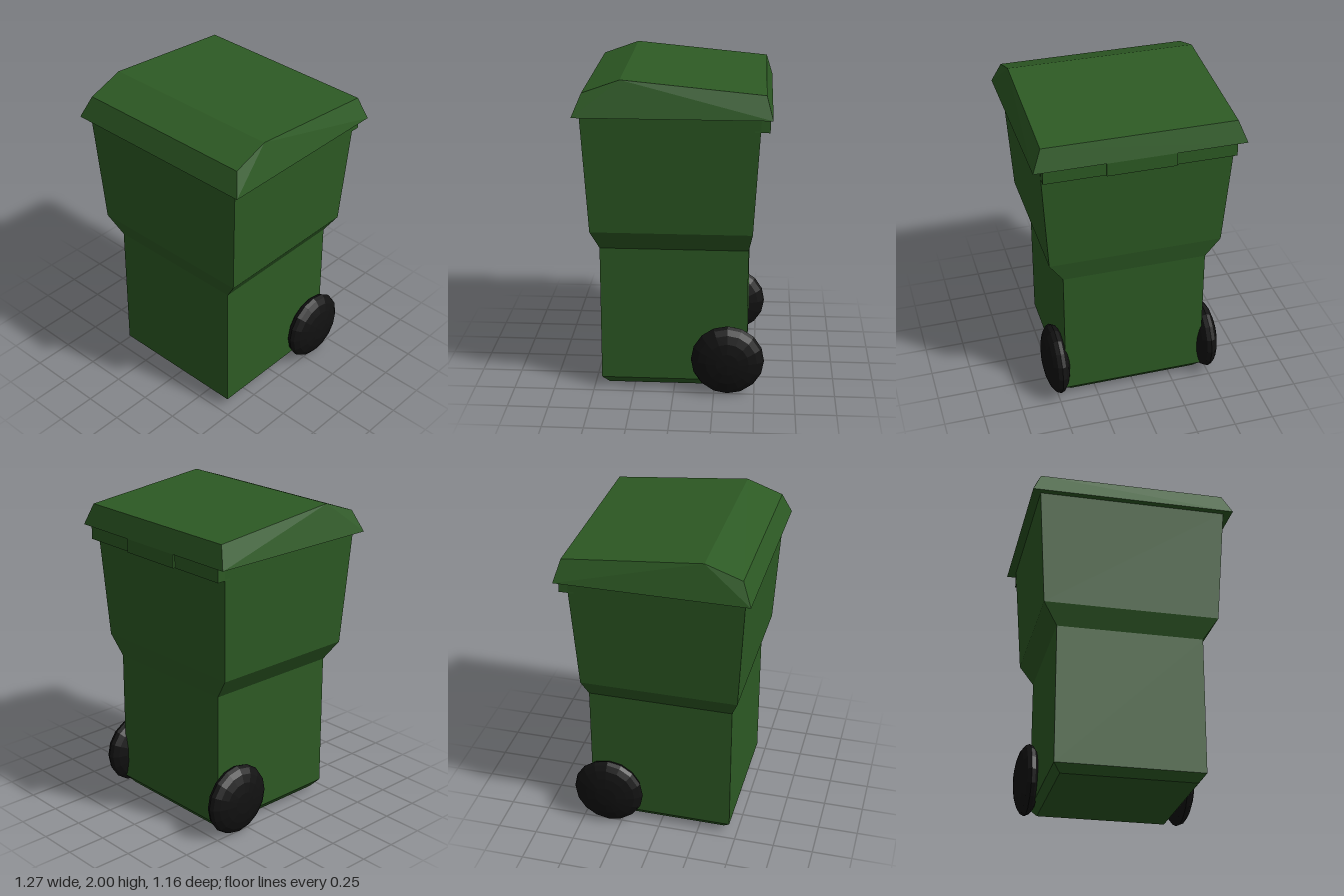
import * as THREE from 'three';
import { ConvexGeometry } from 'three/addons/geometries/ConvexGeometry.js';

const green = new THREE.MeshStandardMaterial({ color: 0x2d5a24, flatShading: true });
const black = new THREE.MeshStandardMaterial({ color: 0x111111, flatShading: true });

function add(parent, name, geometry, material, x = 0, y = 0, z = 0) {
  const mesh = new THREE.Mesh(geometry, material);
  mesh.name = name;
  mesh.position.set(x, y, z);
  parent.add(mesh);
  return mesh;
}

// Closed loft through rectangular sections [y, halfWidth, zBack, zFront], bottom to top
function loftRects(sections) {
  const pos = [];
  const rings = sections.map(([y, w, b, f]) => [[-w, y, f], [w, y, f], [w, y, b], [-w, y, b]]);
  const quad = (a, b, c, d) => pos.push(...a, ...b, ...c, ...a, ...c, ...d);
  for (let i = 0; i < rings.length - 1; i++) {
    for (let k = 0; k < 4; k++) {
      const n = (k + 1) % 4;
      quad(rings[i][k], rings[i][n], rings[i + 1][n], rings[i + 1][k]);
    }
  }
  const [b0, b1, b2, b3] = rings[0];
  quad(b3, b2, b1, b0);
  quad(...rings[rings.length - 1]);
  const geometry = new THREE.BufferGeometry();
  geometry.setAttribute('position', new THREE.Float32BufferAttribute(pos, 3));
  geometry.computeVertexNormals();
  return geometry;
}

export function createModel() {
  const bin = new THREE.Group();
  bin.name = 'wheeledBin';

  // Body: bevelled foot, straight lower half, flared shoulder, tapered upper half
  add(bin, 'body', loftRects([
    [0.02, 0.41, -0.41, 0.41],
    [0.07, 0.452, -0.452, 0.452],
    [0.93, 0.452, -0.452, 0.452],
    [1.06, 0.54, -0.475, 0.5],
    [1.79, 0.585, -0.515, 0.54],
  ]), green);

  // Lid: flared rim rising to a ridge near the front
  const lidPoints = [];
  for (const s of [-1, 1]) {
    for (const [x, y, z] of [
      [0.637, 1.785, 0.58], [0.637, 1.785, -0.58],
      [0.583, 1.92, 0.523], [0.583, 2, 0.3], [0.583, 1.92, -0.541],
    ]) lidPoints.push(new THREE.Vector3(s * x, y, z));
  }
  add(bin, 'lid', new ConvexGeometry(lidPoints), green);

  // Rear handle lip with a slightly prouder hinge block in the middle
  add(bin, 'rearLip', new THREE.BoxGeometry(1.16, 0.08, 0.09), green, 0, 1.74, -0.52);
  add(bin, 'hingeBlock', new THREE.BoxGeometry(0.42, 0.087, 0.1), green, 0, 1.7435, -0.528);

  // Wheels: flattened faceted discs with their poles on the axle
  const wheel = new THREE.SphereGeometry(0.226, 16, 10);
  wheel.rotateZ(Math.PI / 2);
  wheel.scale(0.36, 1, 1);
  for (const [name, s] of [['leftWheel', 1], ['rightWheel', -1]]) {
    add(bin, name, wheel, black, s * 0.492, 0.226, -0.333);
  }
  return bin;
}
